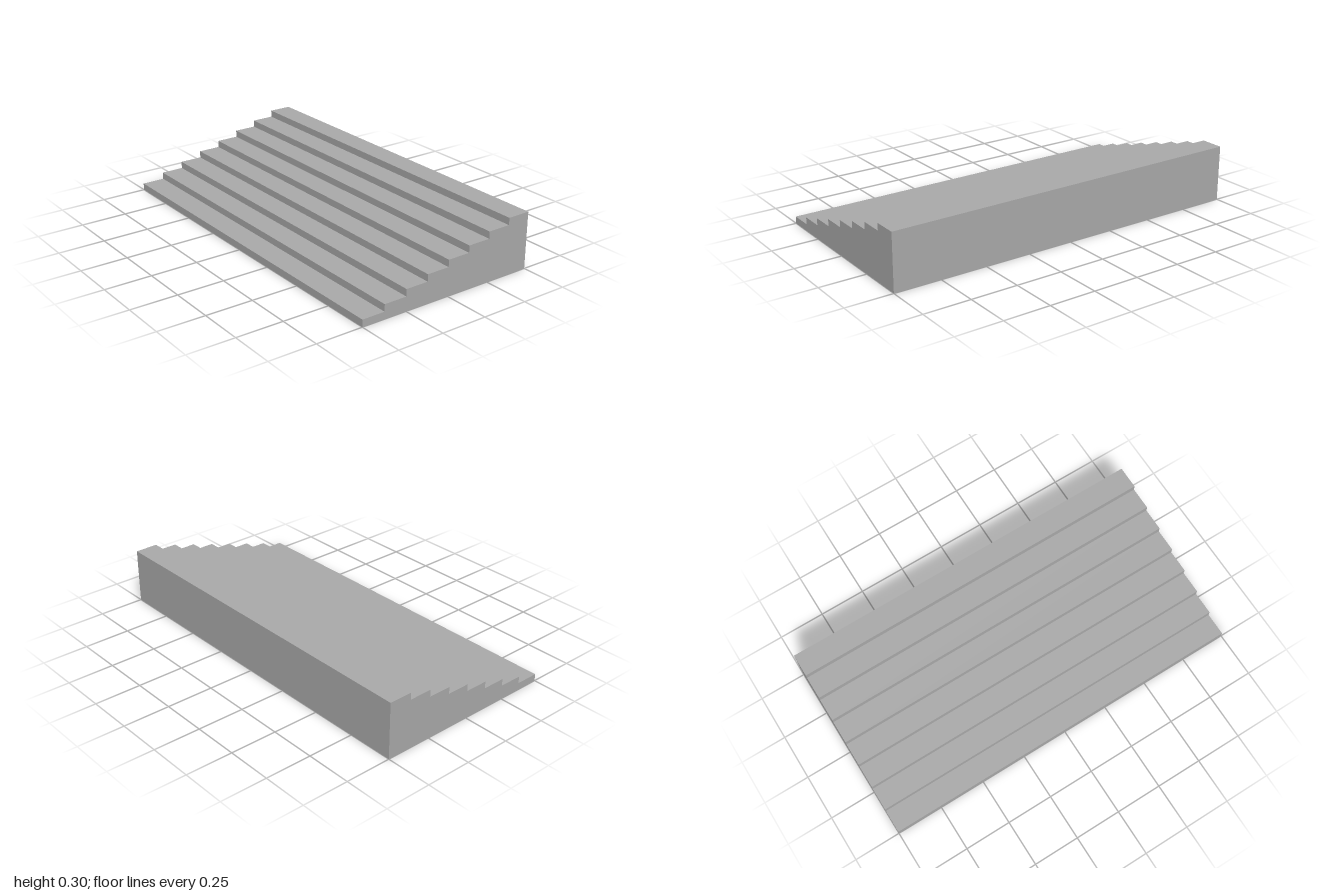
import * as THREE from 'three';

const WIDTH = 2, DEPTH = 1, HEIGHT = 0.3, STEPS = 8;

export function createModel() {
  const group = new THREE.Group();
  group.name = 'staircase';
  const stone = new THREE.MeshStandardMaterial({ color: 0xaaaaaa });
  stone.name = 'grey stone';

  // Side profile: x runs towards the front, y is up
  const run = DEPTH / STEPS, rise = HEIGHT / STEPS;
  const profile = new THREE.Shape();
  profile.moveTo(-DEPTH / 2, 0);
  profile.lineTo(DEPTH / 2, 0);
  for (let i = 0; i < STEPS; i++) {
    const front = DEPTH / 2 - i * run;
    profile.lineTo(front, (i + 1) * rise); // riser
    profile.lineTo(front - run, (i + 1) * rise); // tread
  }
  profile.closePath();

  // Sweep the profile across the full width
  const geometry = new THREE.ExtrudeGeometry(profile, { depth: WIDTH, bevelEnabled: false });
  geometry.translate(0, 0, -WIDTH / 2);
  geometry.rotateY(-Math.PI / 2);

  const steps = new THREE.Mesh(geometry, stone);
  steps.name = 'steps';
  group.add(steps);
  return group;
}
